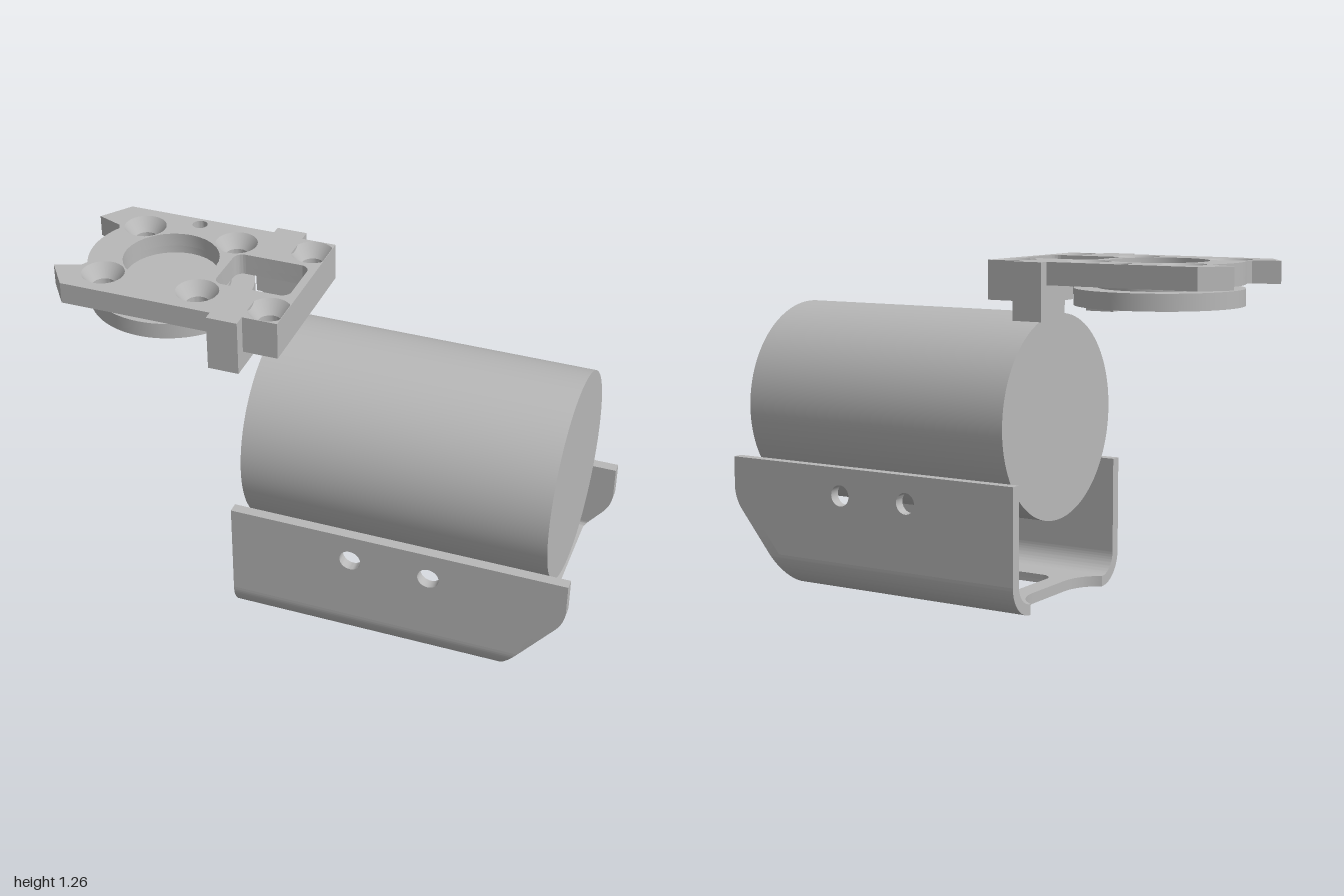
import * as THREE from 'three';
import { toCreasedNormals } from 'three/addons/utils/BufferGeometryUtils.js';

const grey = new THREE.MeshStandardMaterial({ color: 0xb8b8b8 });
grey.name = 'plain grey';
const greyOpen = grey; // single colour throughout
greyOpen.side = THREE.DoubleSide;

function add(group, name, geometry) {
  const mesh = new THREE.Mesh(geometry, grey);
  mesh.name = name;
  group.add(mesh);
  return mesh;
}

function extrude(shape, depth) {
  return new THREE.ExtrudeGeometry(shape, { depth, bevelEnabled: false, curveSegments: 20 });
}

// Horizontal slab: plan drawn as (x, -z), spanning y0 to y1
function slab(shape, y0, y1) {
  return extrude(shape, y1 - y0).rotateX(-Math.PI / 2).translate(0, y0, 0);
}

function moveVertices(geometry, rule) {
  const p = geometry.attributes.position;
  const v = new THREE.Vector3();
  for (let i = 0; i < p.count; i++) {
    rule(v.fromBufferAttribute(p, i));
    p.setXYZ(i, v.x, v.y, v.z);
  }
  return geometry;
}

const crease = (g) => toCreasedNormals(g, 0.5);
const polygon = (pts) => new THREE.Shape(pts.map(([x, y]) => new THREE.Vector2(x, y)));

function roundRect(x0, x1, h, r) {
  const p = new THREE.Path();
  p.absarc(x1 - r, h - r, r, 0, Math.PI / 2);
  p.absarc(x0 + r, h - r, r, Math.PI / 2, Math.PI);
  p.absarc(x0 + r, -h + r, r, Math.PI, Math.PI * 1.5);
  p.absarc(x1 - r, -h + r, r, Math.PI * 1.5, Math.PI * 2);
  p.closePath();
  return p;
}

// Circle that stops just short of the plate's end face
const END_LIMIT = -0.102;
function hole(x, y, r, limit = Infinity) {
  const pts = [];
  for (let i = 0; i < 32; i++) {
    const a = (i / 32) * Math.PI * 2;
    pts.push(new THREE.Vector2(Math.min(x + r * Math.cos(a), limit), y + r * Math.sin(a)));
  }
  return new THREE.Path(pts);
}

// Sloped end of the cradle
const slopeX = (y) => 0.74 + 0.82 * y;

function buildCradle() {
  const g = new THREE.Group();
  g.name = 'cradle';
  const R = 0.12, T = 0.04, Z = 0.38, X0 = -0.26;

  // Side walls with two holes each
  const wall = new THREE.Shape();
  wall.moveTo(X0, R);
  wall.lineTo(slopeX(R), R);
  wall.lineTo(slopeX(0.27), 0.27);
  wall.quadraticCurveTo(1, 0.315, 1, 0.37);
  wall.lineTo(1, 0.48);
  wall.lineTo(X0, 0.48);
  wall.closePath();
  for (const x of [0.2, 0.495]) wall.holes.push(hole(x, 0.375, 0.04));

  for (const s of [-1, 1]) {
    add(g, 'sideWall', crease(extrude(wall, T).translate(0, 0, s > 0 ? Z - T : -Z)));

    // Rounded lower edge
    const a = s > 0 ? -Math.PI / 2 : Math.PI;
    const arc = new THREE.Shape();
    arc.absarc(s * (Z - R), R, R, a, a + Math.PI / 2, false);
    arc.absarc(s * (Z - R), R, R - T, a + Math.PI / 2, a, true);
    arc.closePath();
    const edge = extrude(arc, 1).rotateY(Math.PI / 2);
    moveVertices(edge, (v) => { v.x = v.x < 0.5 ? X0 : slopeX(v.y); });
    add(g, 'roundedEdge', crease(edge));
  }

  // Floor with a concave end and a stepped window
  const floorLayer = (x0, x1, h, r, y0, y1) => {
    const f = new THREE.Shape();
    const w = Z - R;
    f.moveTo(0.74, -w);
    f.lineTo(0.74, w);
    f.lineTo(X0, w);
    f.bezierCurveTo(X0 + 0.05, w - 0.03, X0 + 0.08, w - 0.08, X0 + 0.08, w - 0.15);
    f.lineTo(X0 + 0.08, -w + 0.15);
    f.bezierCurveTo(X0 + 0.08, -w + 0.08, X0 + 0.05, -w + 0.03, X0, -w);
    f.closePath();
    f.holes.push(roundRect(x0, x1, h, r));
    const geo = slab(f, y0, y1);
    moveVertices(geo, (v) => { if (v.x > 0.73) v.x = slopeX(v.y); });
    add(g, 'floor', crease(geo));
  };
  floorLayer(-0.13, 0.62, 0.185, 0.07, 0, 0.02);
  floorLayer(-0.105, 0.595, 0.16, 0.05, 0.02, T);

  // Upturned sloping lip joining the walls
  const top = 0.195, f = 0.02, inner = Z - T;
  const lip = new THREE.Shape();
  lip.moveTo(-Z + R, 0);
  lip.lineTo(Z - R, 0);
  lip.absarc(Z - R, R, R, -Math.PI / 2, 0, false);
  lip.lineTo(Z, top + f);
  lip.lineTo(inner, top + f);
  lip.absarc(inner - f, top + f, f, 0, -Math.PI / 2, true);
  lip.lineTo(-inner + f, top);
  lip.absarc(-inner + f, top + f, f, -Math.PI / 2, -Math.PI, true);
  lip.lineTo(-Z, top + f);
  lip.lineTo(-Z, R);
  lip.absarc(-Z + R, R, R, Math.PI, Math.PI * 1.5, false);
  const lipGeo = extrude(lip, 0.05).rotateY(Math.PI / 2);
  moveVertices(lipGeo, (v) => { v.x += slopeX(v.y) - 0.05; });
  add(g, 'slopingLip', crease(lipGeo));
  return g;
}

function buildMountPlate() {
  const g = new THREE.Group();
  g.name = 'mountPlate';
  const cx = -0.625;
  const screws = [];
  for (const s of [-1, 1]) screws.push([-0.81, s * 0.18], [-0.445, s * 0.18], [-0.16, s * 0.21]);

  // Half outline, mirrored, with a bulging arc at the forked end
  const half = [[-0.1, 0.29], [-0.23, 0.29], [-0.23, 0.335], [-0.345, 0.335],
    [-0.345, 0.3], [-0.92, 0.3], [-1, 0.19], [-0.905, 0.155]];
  const arc = [];
  for (let i = 0; i <= 14; i++) {
    const a = Math.PI + (i / 14 - 0.5) * 0.92;
    arc.push([cx + 0.3 * Math.cos(a), 0.3 * Math.sin(a)]);
  }
  const outline = [...half, ...arc, ...half.map(([x, y]) => [x, -y]).reverse()];

  const layer = (name, pts, y0, y1, r, isMain) => {
    const s = polygon(pts);
    s.holes.push(roundRect(-0.415, -0.13, 0.11, 0.035));
    for (const [x, y] of screws) if (isMain || x > -0.2) s.holes.push(hole(x, y, r, END_LIMIT));
    if (isMain) s.holes.push(hole(cx, 0, 0.175), hole(cx, 0.26, 0.028));
    add(g, name, crease(slab(s, y0, y1)));
  };
  layer('plateTop', outline, 1.21, 1.26, 0.078, true);
  layer('plateBottom', outline, 1.18, 1.21, 0.042, true);

  // Thicker end block on both sides of the window
  for (const s of [-1, 1]) {
    const sh = polygon([[-0.34, s * 0.11], [-0.13, s * 0.11], [-0.13, 0], [-0.1, 0], [-0.1, s * 0.29], [-0.34, s * 0.29]]);
    sh.holes.push(hole(-0.16, s * 0.21, 0.042));
    add(g, 'endBlock', crease(slab(sh, 1.12, 1.18)));

    // Downward leg
    add(g, 'leg', new THREE.BoxGeometry(0.115, 0.205, 0.16).translate(-0.2875, 1.1575, s * 0.255));
  }

  // Countersunk funnels
  for (const [x, y] of screws) {
    const cone = new THREE.CylinderGeometry(0.078, 0.042, 0.05, 32, 1, true).translate(x, 1.235, -y);
    moveVertices(cone, (v) => { v.x = Math.min(v.x, END_LIMIT); });
    add(g, 'countersink', cone);
  }

  // Round boss and disc below the plate
  add(g, 'boss', new THREE.CylinderGeometry(0.215, 0.215, 0.02, 64).translate(cx, 1.171, 0));
  add(g, 'disc', new THREE.CylinderGeometry(0.3, 0.3, 0.06, 64).translate(cx, 1.135, 0));
  return g;
}

export function createModel() {
  const model = new THREE.Group();
  model.name = 'cylinderMount';
  model.add(buildCradle(), buildMountPlate());

  // Main cylinder lying along x
  const body = new THREE.CylinderGeometry(0.38, 0.38, 1.13, 96).rotateZ(Math.PI / 2);
  add(model, 'mainCylinder', body.translate(0.35, 0.677, 0));
  return model;
}
